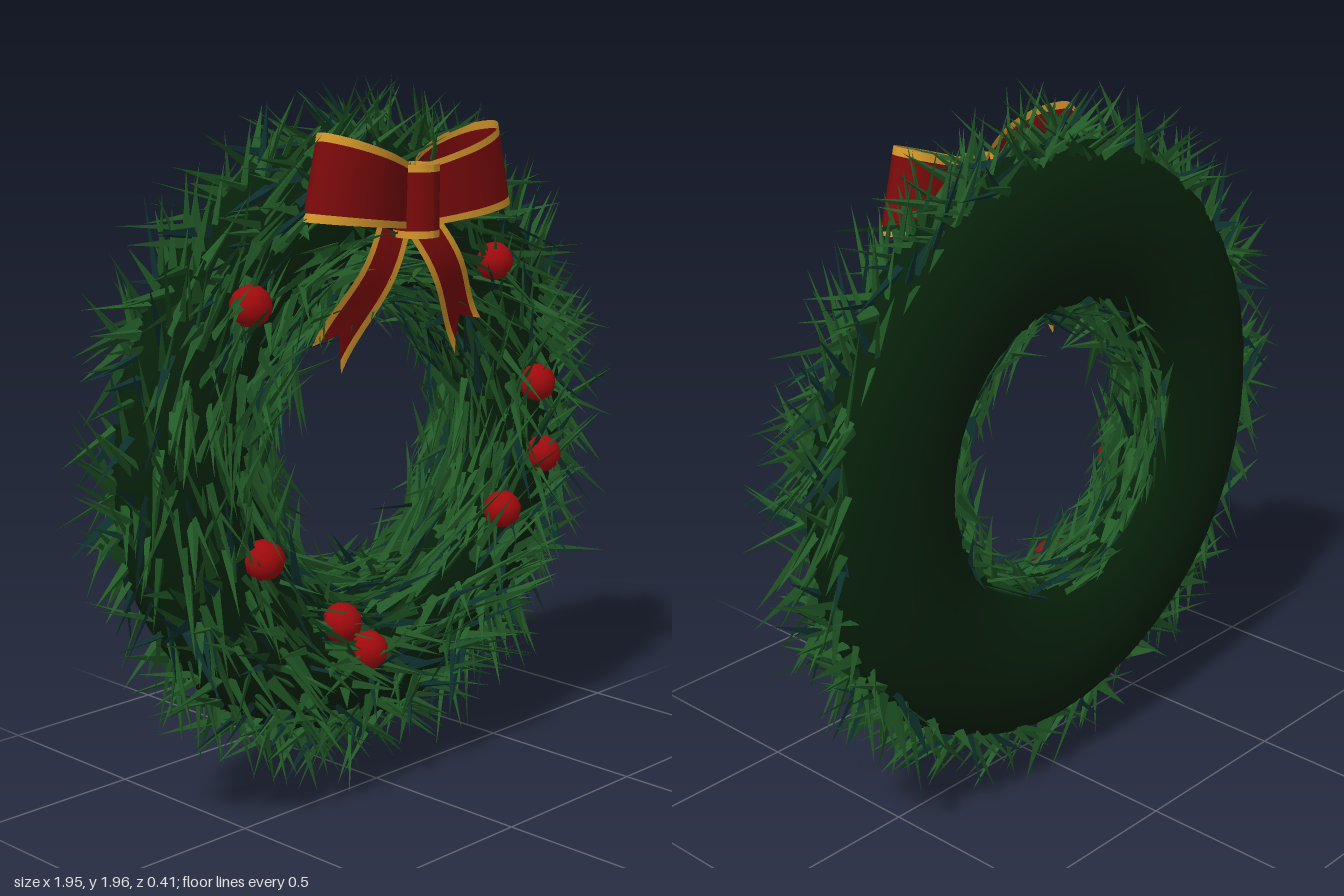
import * as THREE from 'three';
import { mergeGeometries } from 'three/addons/utils/BufferGeometryUtils.js';

const mat = (name, color, extra = {}) => {
  const m = new THREE.MeshStandardMaterial({ color, ...extra });
  m.name = name;
  return m;
};

// small seeded generator
let seed = 7;
const rand = (a = 0, b = 1) => {
  seed = (seed * 16807) % 2147483647;
  return a + (b - a) * (seed / 2147483647);
};

const RING = 0.605, TUBE = 0.225, DEPTH = 0.133, CY = 1.01, CZ = -0.083;

// open strip through point(u, v), between v0 and v1
function strip(point, v0, v1, n) {
  const pos = [], idx = [];
  for (let i = 0; i <= n; i++) {
    for (const v of [v0, v1]) pos.push(...point(i / n, v));
    if (i < n) {
      const a = i * 2;
      idx.push(a, a + 1, a + 2, a + 1, a + 3, a + 2);
    }
  }
  const g = new THREE.BufferGeometry();
  g.setAttribute('position', new THREE.Float32BufferAttribute(pos, 3));
  g.setIndex(idx);
  g.computeVertexNormals();
  return g;
}

// red band with a gold border along both edges
function ribbon(name, point, n, border, red, gold) {
  const group = new THREE.Group();
  group.name = name;
  const band = new THREE.Mesh(
    mergeGeometries([strip(point, border, 0.5, n), strip(point, 0.5, 1 - border, n)]), red);
  band.name = name + 'Band';
  const edges = new THREE.Mesh(
    mergeGeometries([strip(point, 0, border, n), strip(point, 1 - border, 1, n)]), gold);
  edges.name = name + 'Trim';
  group.add(band, edges);
  return group;
}

// flat spiky blades scattered over the front, outer and inner faces of the ring
function needles(count) {
  const blades = [];
  const up = new THREE.Vector3(0, 1, 0);
  for (let i = 0; i < count; i++) {
    const t = rand(0, Math.PI * 2), p = rand(-0.55, Math.PI + 0.6);
    const radial = new THREE.Vector3(Math.cos(t), Math.sin(t), 0);
    const tangent = new THREE.Vector3(-Math.sin(t), Math.cos(t), 0);
    const normal = radial.clone().multiplyScalar(Math.cos(p));
    normal.z = Math.sin(p);
    const base = radial.clone().multiplyScalar(RING + Math.cos(p) * TUBE * 0.97);
    base.z = Math.sin(p) * DEPTH * 0.97;
    const outer = Math.max(0, Math.cos(p));
    const dir = tangent.multiplyScalar(rand(0.4, 1) * (rand() < 0.5 ? -1 : 1))
      .addScaledVector(normal, rand(0.1, 0.5) + outer * rand(0, 0.75))
      .addScaledVector(radial, rand(-0.25, 0.35));
    dir.z += rand(-0.15, 0.15);
    dir.normalize();
    let len = rand(0.12, 0.25);
    // keep the tips within the overall outline
    const tip = () => base.clone().addScaledVector(dir, len);
    while (len > 0.05 && (Math.hypot(tip().x, tip().y) > 0.985 || tip().z > 0.24 || tip().z < -0.1)) len *= 0.9;
    const g = new THREE.ConeGeometry(rand(0.013, 0.021), len, 3, 1, true);
    g.scale(1, 1, 0.5);
    g.translate(0, len * 0.5, 0);
    g.rotateY(rand(0, 6.28));
    g.applyQuaternion(new THREE.Quaternion().setFromUnitVectors(up, dir));
    g.translate(base.x, base.y + CY, base.z + CZ);
    blades.push(g);
  }
  return mergeGeometries(blades);
}

export function createModel() {
  seed = 7;
  const model = new THREE.Group();
  model.name = 'wreath';
  const side = { side: THREE.DoubleSide };
  const core = mat('deepGreen', 0x07200a);
  const red = mat('ribbonRed', 0x7a0a0b, side);
  const gold = mat('ribbonGold', 0xd6982b, side);
  const berryRed = mat('berryRed', 0xa00a0d);

  // solid ring behind the foliage
  const torus = new THREE.TorusGeometry(RING, TUBE, 14, 48);
  torus.scale(1, 1, DEPTH / TUBE);
  const ring = new THREE.Mesh(torus, core);
  ring.name = 'ringCore';
  ring.position.set(0, CY, CZ);
  model.add(ring);

  // three shades of needles
  const shades = [
    ['leafNeedles', 0x235a27, 1000], ['shadowNeedles', 0x1a4a1f, 650], ['blueNeedles', 0x0d302d, 300],
  ];
  for (const [name, color, count] of shades) {
    const m = new THREE.Mesh(needles(count), mat(name + 'Green', color, { flatShading: true, ...side }));
    m.name = name;
    model.add(m);
  }

  // berries
  const spots = [[-0.515, 1.44], [0.4, 1.465], [0.595, 1.095], [0.625, 0.88],
    [0.45, 0.745], [-0.48, 0.78], [-0.2, 0.55], [-0.1, 0.45]];
  const berryShape = new THREE.SphereGeometry(0.055, 10, 7);
  spots.forEach(([x, y], i) => {
    const b = new THREE.Mesh(berryShape, berryRed);
    b.name = 'berry' + (i + 1);
    b.position.set(x, y, 0.066);
    b.rotation.set(i, i * 2, 0);
    model.add(b);
  });

  // bow: loops, notched tails and knot
  const bow = new THREE.Group();
  bow.name = 'bow';
  bow.position.x = 0.005;
  const loopPath = new THREE.CatmullRomCurve3([[0, 0.13], [0.09, 0.175], [0.2, 0.2], [0.3, 0.18],
    [0.35, 0.125], [0.315, 0.065], [0.2, 0.04], [0.09, 0.07], [0, 0.13]]
    .map(([x, z]) => new THREE.Vector3(x, 0, z)));
  for (const s of [-1, 1]) {
    const label = s > 0 ? 'left' : 'right';
    bow.add(ribbon(label + 'Loop', (u, v) => {
      const p = loopPath.getPoint(u), k = p.x / 0.35;
      const low = 1.595 + 0.045 * k, high = 1.755 + 0.105 * k;
      return [s * (p.x + k * (0.025 - 0.055 * v)), low + (high - low) * v, p.z];
    }, 32, 0.1, red, gold));

    bow.add(ribbon(label + 'Tail', (u, v) => {
      const t = u * (1 - 0.2 * (1 - Math.abs(2 * v - 1)));
      const x0 = 0.12 * v, y0 = 1.575 + 0.035 * v;
      const x1 = 0.22 + 0.105 * v, y1 = 1.23 + 0.085 * v;
      return [s * (x0 + (x1 - x0) * t), y0 + (y1 - y0) * t,
        0.115 + 0.02 * Math.sin(t * 5) - 0.015 * t];
    }, 10, 0.16, red, gold));
  }
  bow.add(ribbon('knot', (u, v) => {
    const a = u * Math.PI * 2;
    return [0.06 * Math.sin(a), 1.575 + 0.19 * v, 0.14 + 0.062 * Math.cos(a)];
  }, 20, 0.1, red, gold));
  model.add(bow);

  return model;
}
